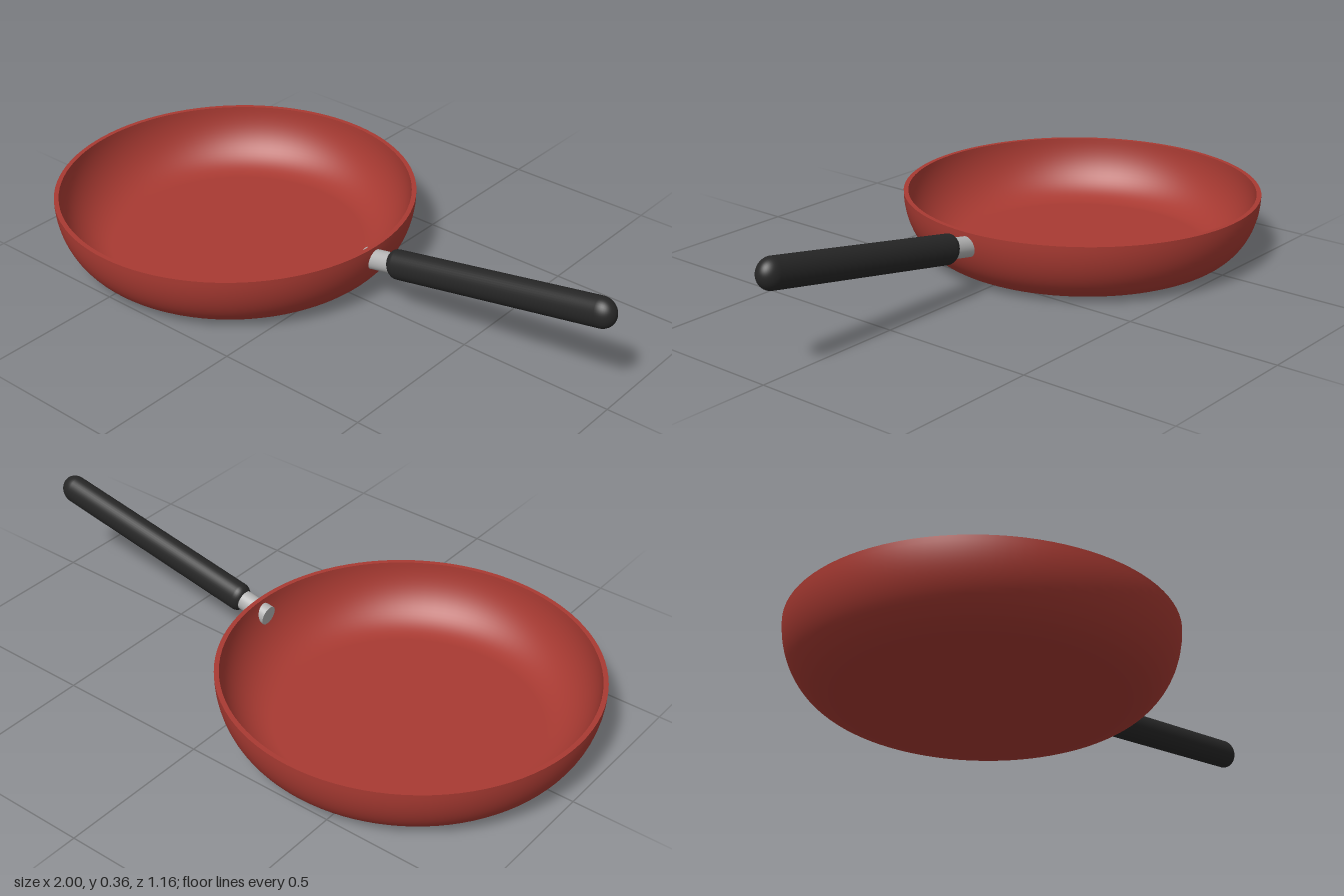
import * as THREE from 'three';

const red = new THREE.MeshStandardMaterial({ color: 0xa83a32 });
red.name = 'red enamel';
const black = new THREE.MeshStandardMaterial({ color: 0x262626 });
black.name = 'black grip';
const steel = new THREE.MeshStandardMaterial({ color: 0xb4b4b4 });
steel.name = 'steel';

const V = (x, y) => new THREE.Vector2(x, y);

function lathe(name, points, material, segments = 96) {
  const mesh = new THREE.Mesh(new THREE.LatheGeometry(points, segments), material);
  mesh.name = name;
  return mesh;
}

// Flat floor curving up into an elliptical wall
function bowlProfile(floorRadius, rimRadius, floorY, rimY, steps = 20) {
  const points = [V(0, floorY)];
  for (let i = 0; i <= steps; i++) {
    const t = (i / steps) * Math.PI / 2;
    points.push(V(
      floorRadius + (rimRadius - floorRadius) * Math.sin(t),
      rimY - (rimY - floorY) * Math.cos(t)
    ));
  }
  return points;
}

export function createModel() {
  const model = new THREE.Group();
  model.name = 'fryingPan';

  // Pan: outer shell, inner shell and the narrow rim joining them
  const rimY = 0.21;
  const pan = new THREE.Group();
  pan.name = 'pan';
  pan.position.x = -0.42;
  pan.add(
    lathe('outerShell', bowlProfile(0.42, 0.58, 0, rimY), red),
    lathe('innerShell', bowlProfile(0.41, 0.565, 0.015, rimY).reverse(), red),
    lathe('rim', [V(0.58, rimY), V(0.565, rimY)], red)
  );
  model.add(pan);

  // Handle group: local y runs along the tilted handle
  const tilt = THREE.MathUtils.degToRad(10.4);
  const handle = new THREE.Group();
  handle.name = 'handle';
  handle.position.set(0.217, 0.174, 0);
  handle.rotation.z = tilt - Math.PI / 2;

  // Oval grip: blunt rounded start, domed tip
  const length = 0.795, radius = 0.048, bevel = 0.03;
  const profile = [V(0, 0)];
  for (let i = 0; i <= 8; i++) {
    const t = (i / 8) * Math.PI / 2;
    profile.push(V(radius - bevel + bevel * Math.sin(t), bevel - bevel * Math.cos(t)));
  }
  for (let i = 0; i <= 12; i++) {
    const t = (i / 12) * Math.PI / 2;
    profile.push(V(radius * Math.cos(t), length - radius + radius * Math.sin(t)));
  }
  const grip = lathe('grip', profile, black, 40);
  grip.scale.z = 0.82;
  handle.add(grip);

  // Steel stem passing through the pan wall
  const stem = new THREE.Mesh(new THREE.CylinderGeometry(0.033, 0.033, 0.15, 32), steel);
  stem.name = 'stem';
  stem.position.y = -0.02;
  stem.scale.z = 0.9;
  handle.add(stem);

  model.add(handle);
  return model;
}
